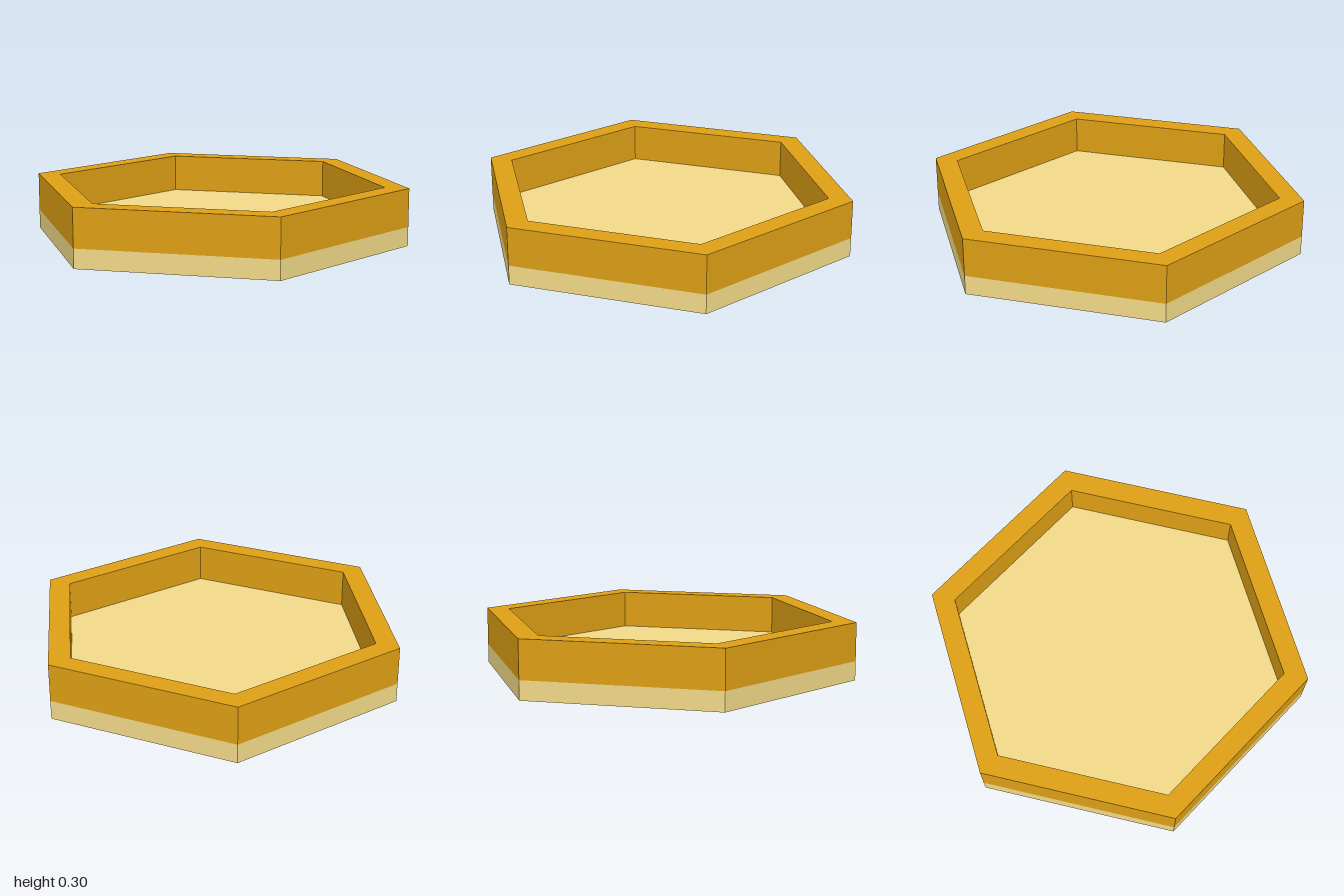
import * as THREE from 'three';

const SIDES = 6;
const START = Math.PI / 2; // puts a corner on the x axis
const OUTER = 1, INNER = 0.875;
const FLOOR = 0.1, TOP = 0.3;

function part(name, geometry, color) {
  const mesh = new THREE.Mesh(geometry, new THREE.MeshStandardMaterial({ color, flatShading: true }));
  mesh.name = name;
  return mesh;
}

export function createModel() {
  const model = new THREE.Group();
  model.name = 'hexagonalTray';

  // Solid hexagonal slab, whose top is the tray floor
  const slab = new THREE.CylinderGeometry(OUTER, OUTER, FLOOR, SIDES, 1, false, START);
  slab.translate(0, FLOOR / 2, 0);
  model.add(part('base', slab, 0xf2da88));

  // Raised wall: outer side, flat top and inner side
  const profile = [[OUTER, FLOOR], [OUTER, TOP], [INNER, TOP], [INNER, FLOOR]]
    .map(([r, y]) => new THREE.Vector2(r, y));
  model.add(part('rim', new THREE.LatheGeometry(profile, SIDES, START), 0xdd9f15));

  return model;
}
